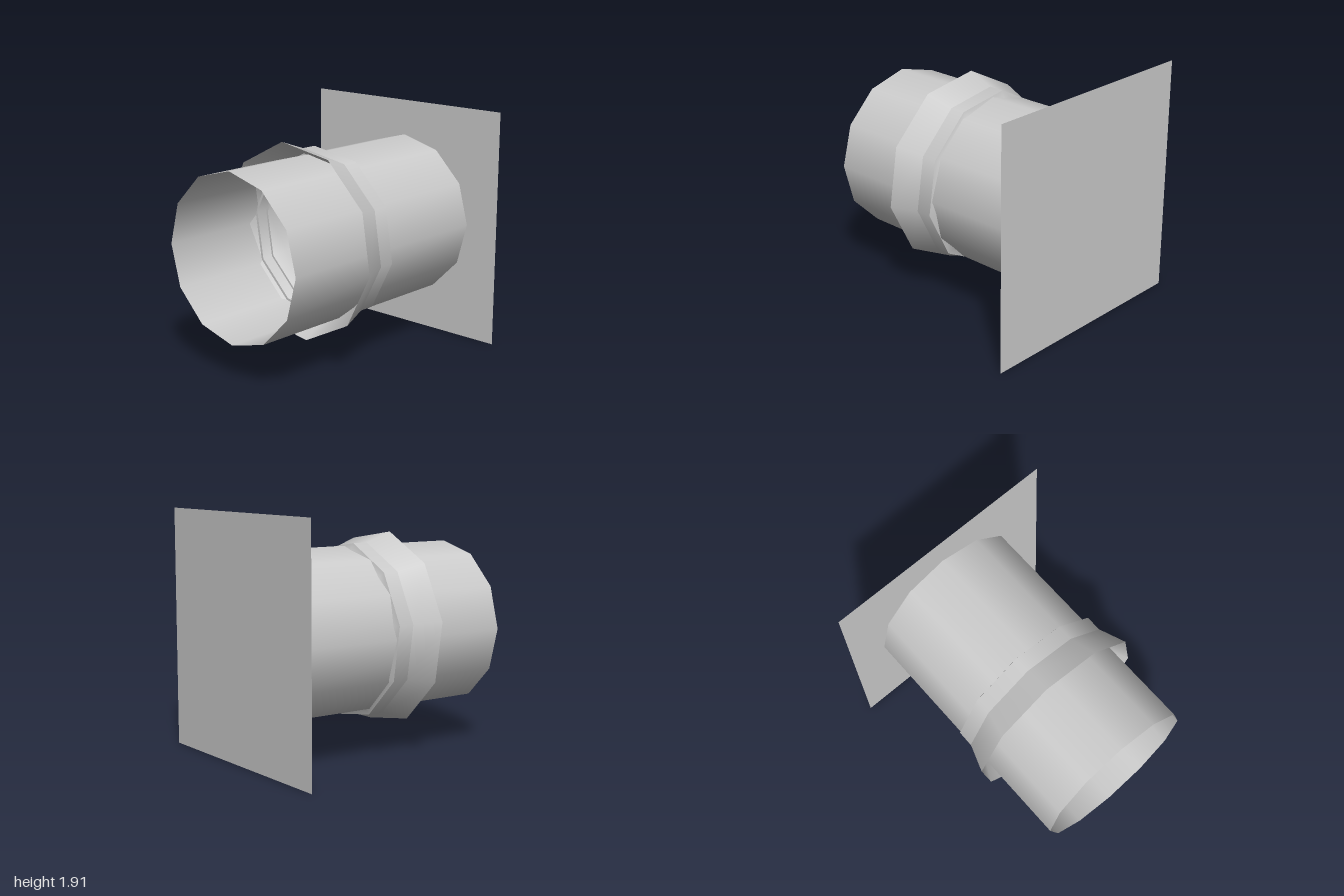
import * as THREE from 'three';

const CENTRE_Y = 0.957;

export function createModel() {
  const model = new THREE.Group();
  const material = new THREE.MeshStandardMaterial({ color: 0xcccccc, side: THREE.DoubleSide });

  // Surface of revolution about the z axis; profile is [radius, z] pairs.
  function revolve(name, profile, sides, turn = 0, parent = model) {
    const points = profile.map(([r, z]) => new THREE.Vector2(r, z));
    const geometry = new THREE.LatheGeometry(points, sides, turn);
    geometry.rotateX(Math.PI / 2);
    const mesh = new THREE.Mesh(geometry, material);
    mesh.name = name;
    mesh.position.y = CENTRE_Y;
    parent.add(mesh);
  }

  // Square plate closing the back
  const plate = new THREE.Mesh(new THREE.PlaneGeometry(1.91, 1.914), material);
  plate.name = 'backPlate';
  plate.position.set(0, CENTRE_Y, -1);
  model.add(plate);

  // Open twelve-sided tube
  revolve('tube', [[0.667, -1], [0.667, 1]], 12);

  // Ten-sided collar with a flared lip, a stepped seat and an inner bowl;
  // separate sections keep the steps between them sharp
  const collar = new THREE.Group();
  collar.name = 'collar';
  model.add(collar);
  const sections = {
    bowl: [[0.175, -0.32], [0.53, -0.07], [0.6, 0.03]],
    innerLedge: [[0.6, 0.03], [0.618, 0.03]],
    seatWall: [[0.618, 0.03], [0.64, 0.11]],
    seatRim: [[0.64, 0.11], [0.662, 0.11]],
    flareInside: [[0.662, 0.11], [0.782, 0.33]],
    flareOutside: [[0.703, 0.11], [0.782, 0.33]],
    band: [[0.703, -0.02], [0.703, 0.11]],
    backShell: [[0.4, -0.4], [0.5, -0.2], [0.6, -0.052], [0.703, -0.02]],
    neck: [[0.4, -1], [0.4, -0.4]],
  };
  for (const [name, profile] of Object.entries(sections)) {
    revolve(name, profile, 10, 0.16, collar);
  }

  return model;
}
